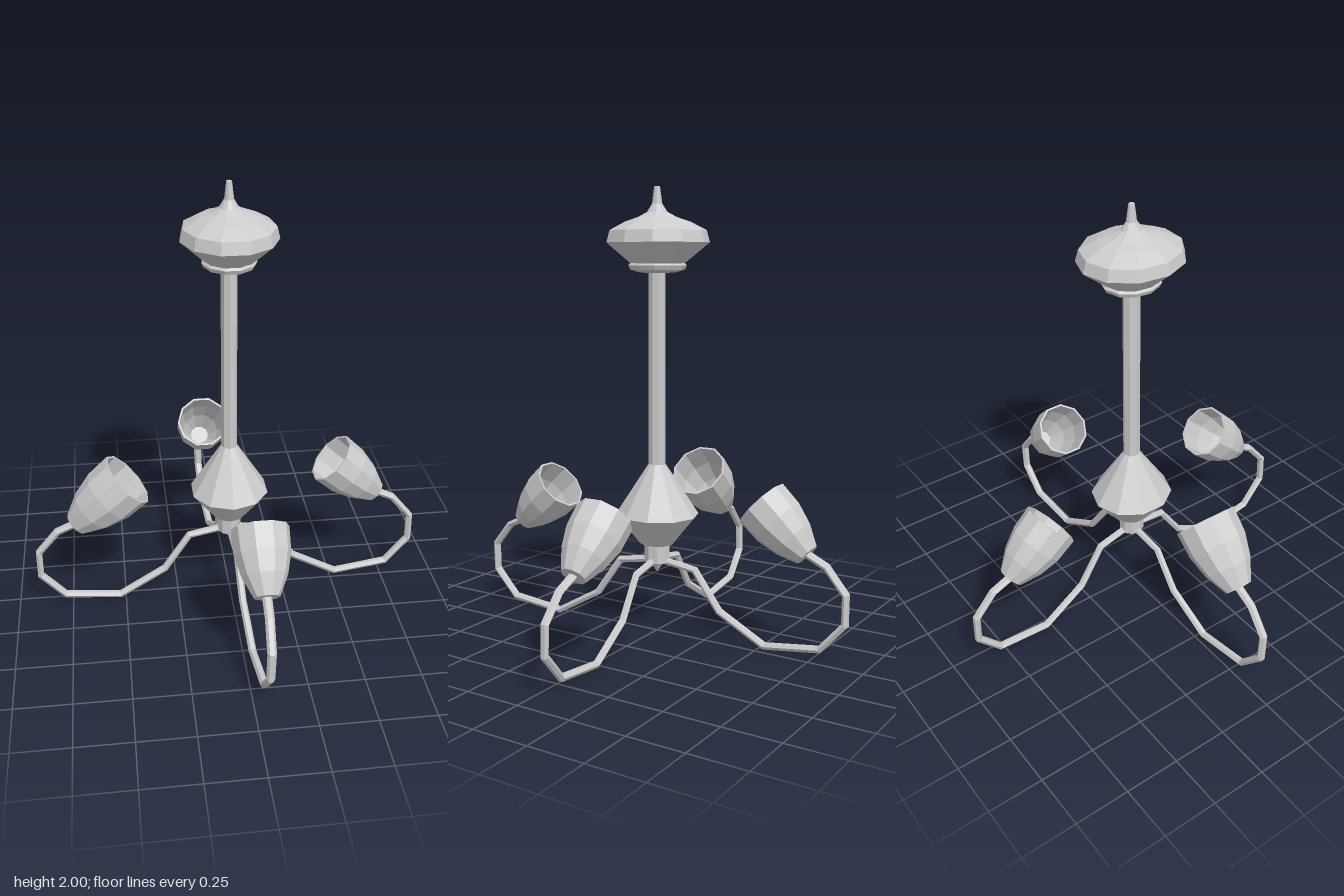
import * as THREE from 'three';

const grey = new THREE.MeshStandardMaterial({ color: 0xcccccc, flatShading: true });

// Faceted turned part; profile is [radius, height] from bottom to top
function turned(name, profile, sides, zScale = 1, phi = 0) {
  const points = profile.map(([r, y]) => new THREE.Vector2(r, y));
  const mesh = new THREE.Mesh(new THREE.LatheGeometry(points, sides, phi), grey);
  mesh.name = name;
  mesh.scale.z = zScale;
  return mesh;
}

// Bent arm: six-sided section swept along points [radial, height, sideways]
function armGeometry(path) {
  const sides = 6, positions = [], index = [];
  path.forEach(([x, y, s], i) => {
    const a = path[Math.max(i - 1, 0)], b = path[Math.min(i + 1, path.length - 1)];
    const len = Math.hypot(b[0] - a[0], b[1] - a[1]);
    const nx = -(b[1] - a[1]) / len, ny = (b[0] - a[0]) / len;
    const width = THREE.MathUtils.lerp(0.016, 0.021, i / (path.length - 1));
    for (let j = 0; j < sides; j++) {
      const t = ((j + 0.5) / sides) * Math.PI * 2;
      const h = Math.cos(t) * 0.017;
      positions.push(x + nx * h, y + ny * h, -s + Math.sin(t) * width);
      if (i < path.length - 1) {
        const k = (j + 1) % sides, p = i * sides, q = p + sides;
        index.push(p + j, p + k, q + k, p + j, q + k, q + j);
      }
    }
  });
  const geo = new THREE.BufferGeometry();
  geo.setAttribute('position', new THREE.Float32BufferAttribute(positions, 3));
  geo.setIndex(index);
  geo.computeVertexNormals();
  return geo;
}

export function createModel() {
  const model = new THREE.Group();
  model.name = 'chandelier';

  // Ceiling canopy with its pointed finial
  model.add(turned('canopy', [
    [0, 1.625], [0.075, 1.63], [0.112, 1.642], [0.12, 1.66], [0.112, 1.67],
    [0.212, 1.76], [0.199, 1.812], [0.135, 1.848], [0.08, 1.868], [0.042, 1.89],
    [0.021, 1.925], [0.012, 2], [0, 2],
  ], 11, 1.12, Math.PI));

  // Hanging rod
  model.add(turned('rod', [[0.036, 0.74], [0.036, 1.64]], 8, 1.1));

  // Central body, lower collar and tip
  model.add(turned('body', [
    [0, 0.41], [0.074, 0.415], [0.18, 0.55], [0.055, 0.75], [0.036, 0.78], [0, 0.78],
  ], 10, 1.06, Math.PI));
  model.add(turned('collar', [
    [0, 0.28], [0.03, 0.325], [0.055, 0.33], [0.055, 0.42], [0, 0.42],
  ], 9, 1.08));

  // Four arms, each carrying an upturned bell shade
  const bell = [
    [0, 0], [0.055, 0], [0.098, 0.09], [0.122, 0.185], [0.126, 0.295],
    [0.117, 0.295], [0.113, 0.185], [0.089, 0.095], [0.045, 0.012], [0, 0.012],
  ];
  for (let k = 0; k < 4; k++) {
    const sway = k % 2 ? 0.071 : 0.057;
    const path = [
      [0.02, 0.34, 0], [0.19, 0.313, 0.2], [0.31, 0.14, 0.35], [0.525, 0.018, 0.58],
      [0.78, 0.048, 0.78], [0.89, 0.172, 0.88], [0.89, 0.3, 0.93], [0.8, 0.408, 0.97],
      [0.705, 0.452, 1],
    ].map(([x, y, s]) => [x, y, s * sway]);

    const branch = new THREE.Group();
    branch.name = 'branch' + (k + 1);
    branch.rotation.y = k * Math.PI / 2;

    const arm = new THREE.Mesh(armGeometry(path), grey);
    arm.name = 'arm';

    const shade = turned('shade', bell, 10);
    shade.position.set(0.709, 0.447, -sway);
    shade.rotation.z = THREE.MathUtils.degToRad(48);
    // The shade on the model's right is slightly larger
    if (k === 2) shade.scale.setScalar(1.1);

    branch.add(arm, shade);
    model.add(branch);
  }
  return model;
}
